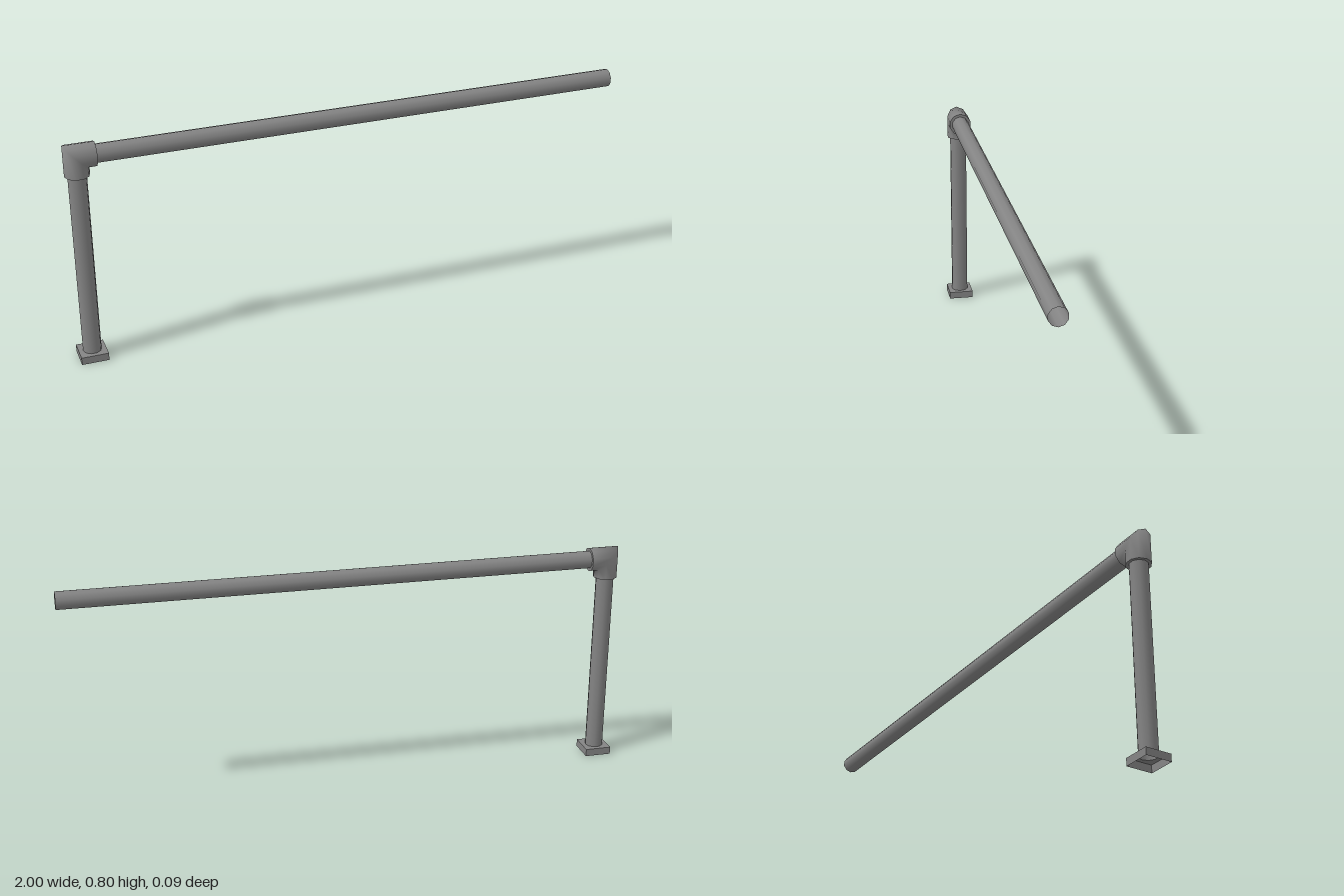
import * as THREE from 'three';

const SIDES = 10;
const PIPE_R = 0.0323, SLEEVE_R = 0.0428;
const CX = -0.9525, CY = 0.7583; // where the post and rail axes meet
const ELBOW_BOTTOM = 0.69, ELBOW_RIGHT = -0.888;
const BASE = 0.0475, BASE_H = 0.027;

// Mitred elbow: one ring swept up, turned at the mitre plane, then along x
function elbowGeometry() {
  const stations = [
    (u, v) => [CX - u, ELBOW_BOTTOM, v],
    (u, v) => [CX - u, CY + u, v],
    (u, v) => [ELBOW_RIGHT, CY + u, v],
  ];
  const positions = [], index = [];
  stations.forEach((point, s) => {
    for (let i = 0; i < SIDES; i++) {
      const a = (i / SIDES) * Math.PI * 2;
      positions.push(...point(Math.cos(a) * SLEEVE_R, Math.sin(a) * SLEEVE_R));
      if (s === stations.length - 1) continue;
      const p = s * SIDES + i, q = s * SIDES + ((i + 1) % SIDES);
      index.push(p, q, p + SIDES, q, q + SIDES, p + SIDES);
    }
  });
  const geometry = new THREE.BufferGeometry();
  geometry.setAttribute('position', new THREE.Float32BufferAttribute(positions, 3));
  geometry.setIndex(index);
  geometry.computeVertexNormals();
  return geometry;
}

// Open-ended tube with a facet corner facing along x
function pipeGeometry(length) {
  return new THREE.CylinderGeometry(PIPE_R, PIPE_R, length, SIDES, 1, true).rotateY(Math.PI / 2);
}

export function createModel() {
  const model = new THREE.Group();
  const material = new THREE.MeshStandardMaterial({ color: 0x848484, side: THREE.DoubleSide });
  const flat = material.clone();
  flat.flatShading = true;

  const group = (name) => {
    const part = new THREE.Group();
    part.name = name;
    model.add(part);
    return part;
  };
  const add = (name, geometry, x, y, mat = material, parent = model) => {
    const mesh = new THREE.Mesh(geometry, mat);
    mesh.name = name;
    mesh.position.set(x, y, 0);
    parent.add(mesh);
  };

  // Upright post
  const postTop = 0.7;
  add('post', pipeGeometry(postTop - BASE_H), CX, (postTop + BASE_H) / 2);

  // Horizontal rail
  const railStart = -0.9, railEnd = 1;
  add('rail', pipeGeometry(railEnd - railStart).rotateZ(-Math.PI / 2), (railStart + railEnd) / 2, CY);

  // Corner fitting with a flat rim around each pipe
  const elbow = group('elbow');
  add('elbowSleeve', elbowGeometry(), 0, 0, material, elbow);
  const rim = (start) => new THREE.RingGeometry(PIPE_R, SLEEVE_R, SIDES, 1, start);
  add('elbowLowerRim', rim(0).rotateX(Math.PI / 2), CX, ELBOW_BOTTOM, flat, elbow);
  add('elbowSideRim', rim(Math.PI / 2).rotateY(Math.PI / 2), ELBOW_RIGHT, CY, flat, elbow);

  // Hollow square foot, open underneath, with a hole for the post
  const foot = group('foot');
  const corner = BASE * Math.SQRT2;
  const walls = new THREE.CylinderGeometry(corner, corner, BASE_H, 4, 1, true).rotateY(Math.PI / 4);
  add('footWalls', walls, CX, BASE_H / 2, flat, foot);

  const plate = new THREE.Shape([[-1, -1], [1, -1], [1, 1], [-1, 1]]
    .map(([x, y]) => new THREE.Vector2(x * BASE, y * BASE)));
  const hole = Array.from({ length: SIDES }, (_, i) => {
    const a = (-i / SIDES) * Math.PI * 2;
    return new THREE.Vector2(Math.cos(a) * PIPE_R, Math.sin(a) * PIPE_R);
  });
  plate.holes.push(new THREE.Path(hole));
  add('footTop', new THREE.ShapeGeometry(plate).rotateX(-Math.PI / 2), CX, BASE_H, flat, foot);

  return model;
}
